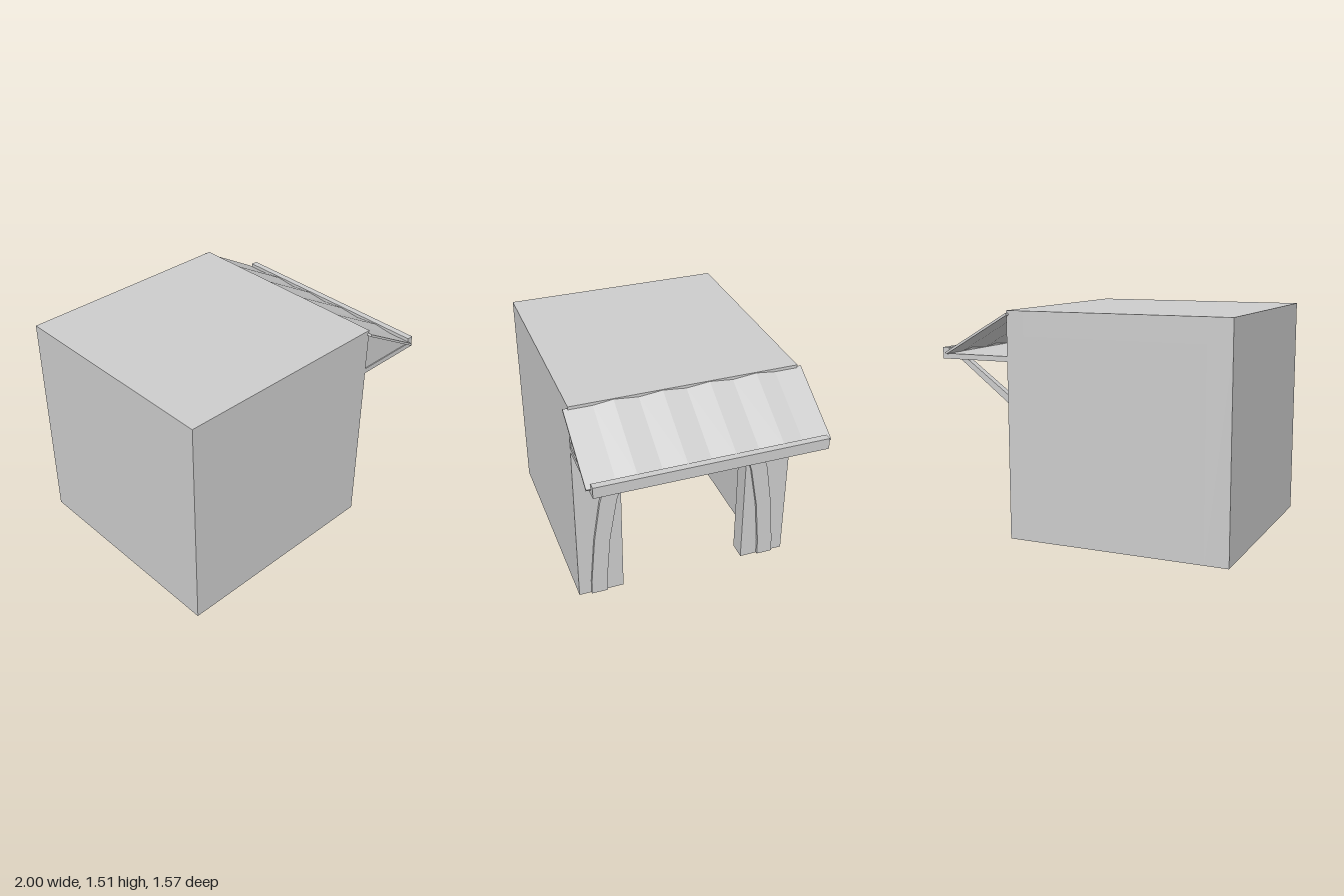
import * as THREE from 'three';

export function createModel() {
  const model = new THREE.Group();
  const grey = new THREE.MeshStandardMaterial({ color: 0xcccccc });
  grey.name = 'plain grey';
  grey.flatShading = true;
  grey.side = THREE.DoubleSide;

  const add = (name, geometry) => {
    const mesh = new THREE.Mesh(geometry, grey);
    mesh.name = name;
    model.add(mesh);
    return mesh;
  };

  // Box given by its minimum and maximum corners
  const box = (name, [x0, y0, z0], [x1, y1, z1]) =>
    add(name, new THREE.BoxGeometry(x1 - x0, y1 - y0, z1 - z0)
      .translate((x0 + x1) / 2, (y0 + y1) / 2, (z0 + z1) / 2));

  const polygon = (points) => new THREE.Shape(points.map(([a, b]) => new THREE.Vector2(a, b)));

  // Outline in (z, y), extruded along +x from x0
  const extrudeX = (name, points, x0, depth) => {
    const g = new THREE.ExtrudeGeometry(polygon(points.map(([z, y]) => [-z, y])), { depth, bevelEnabled: false });
    return add(name, g.rotateY(Math.PI / 2).translate(x0, 0, 0));
  };

  // Outline in (x, y), extruded along +z from z0
  const extrudeZ = (name, points, z0, depth) =>
    add(name, new THREE.ExtrudeGeometry(polygon(points), { depth, bevelEnabled: false }).translate(0, 0, z0));

  const W = 0.755, H = 1.51, T = 0.16, FRONT = 0.51, INNER = 0.385, DOOR = 0.44;

  // Hollow building, open underneath
  box('backWall', [-1, 0, -W], [-1 + T, H - T, W]);
  for (const s of [-1, 1]) {
    const z = [s * W, s * (W - T)].sort((a, b) => a - b);
    box('sideWall', [-1 + T, 0, z[0]], [INNER, H - T, z[1]]);
  }
  box('roof', [-1, H - T, -W], [INNER, H, W]);
  extrudeX('doorWall', [
    [-W, 0], [-DOOR, 0], [-DOOR, 1.125], [DOOR, 1.125], [DOOR, 0], [W, 0], [W, H], [-W, H],
  ], INNER, FRONT - INNER);

  // Curved trims on both sides of the door
  const outer = [[0.671, 0.005], [0.668, 0.11], [0.637, 0.457], [0.59, 0.763], [0.495, 1.065], [0.436, 1.18]];
  const inner = [[0.56, 0.005], [0.558, 0.12], [0.528, 0.457], [0.474, 0.763], [0.373, 1.085], [0.32, 1.18]];
  for (const s of [-1, 1]) {
    const band = [...outer, ...inner.slice().reverse()].map(([z, y]) => [s * z, y]);
    extrudeX('doorTrim', band, FRONT, 0.02);
  }

  // Awning shelf with its raised lip
  box('awningShelf', [FRONT, 1.18, -W], [0.955, 1.215, W]);
  box('awningLip', [0.955, 1.18, -W], [1, 1.255, W]);

  // Pleated sheet: a zigzag strip extruded down the slope
  const ridge = [[-0.785, 0], [-0.6, 0], [-0.47, 1], [-0.31, 0], [-0.155, 1], [0, 0],
    [0.155, 1], [0.31, 0], [0.47, 1], [0.6, 0], [0.785, 0]].map(([z, k]) => [z, k * 0.014]);
  const sheet = [...ridge, ...ridge.slice().reverse().map(([z, h]) => [z, h - 0.015])];
  const dx = 0.465, dy = -0.27;
  extrudeX('awningSheet', sheet, 0, Math.hypot(dx, dy));
  const awning = model.children[model.children.length - 1];
  awning.rotation.z = Math.atan2(dy, dx);
  awning.position.set(0.5, 1.495, 0);

  // Thin panel closing one end of the awning
  extrudeZ('awningEndPanel', [[FRONT, 1.215], [0.945, 1.215], [FRONT, 1.47]], 0.74, 0.008);

  // Slanted brace under the shelf
  extrudeZ('brace', [[0.505, 0.897], [0.875, 1.18], [0.82, 1.18], [0.505, 0.952]], -0.735, 0.047);

  return model;
}
